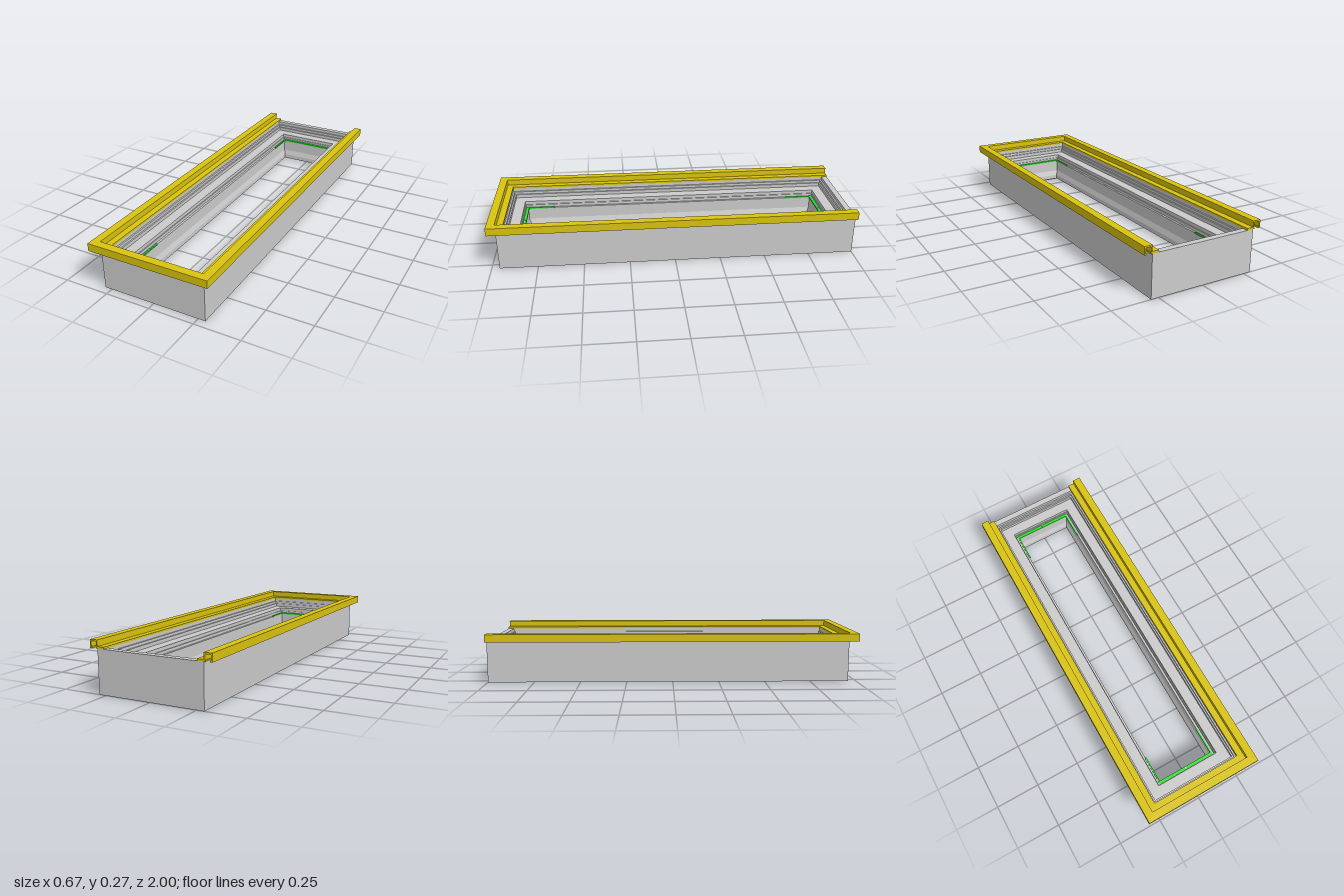
import * as THREE from 'three';

const RING = [[1, 1], [1, -1], [-1, -1], [-1, 1], [1, 1]];
const U_PATH = [[-1, -1], [-1, 1], [1, 1], [1, -1]];

// Sweep an [inset, height] section round a rectangle with mitred corners.
// An open sweep is cut square at the back and capped.
function sweep(name, section, path, halfX, front, back, material, open = false) {
  const pos = [];
  const at = ([sx, sz], [d, y]) => [
    sx * (halfX - d), y, sz > 0 ? front - d : open ? back : back + d];
  for (let k = 0; k < path.length - 1; k++) {
    section.forEach((p, i) => {
      const q = section[(i + 1) % section.length];
      const a = at(path[k], p), b = at(path[k + 1], p);
      const c = at(path[k + 1], q), d = at(path[k], q);
      pos.push(...a, ...b, ...c, ...a, ...c, ...d);
    });
  }
  if (open) {
    const tris = THREE.ShapeUtils.triangulateShape(
      section.map(([d, y]) => new THREE.Vector2(d, y)), []);
    for (const end of [path[0], path[path.length - 1]])
      for (const t of tris) for (const i of t) pos.push(...at(end, section[i]));
  }
  const geometry = new THREE.BufferGeometry();
  geometry.setAttribute('position', new THREE.Float32BufferAttribute(pos, 3));
  geometry.computeVertexNormals();
  const mesh = new THREE.Mesh(geometry, material);
  mesh.name = name;
  return mesh;
}

export function createModel() {
  const group = new THREE.Group();
  const grey = new THREE.MeshStandardMaterial({ color: 0xcccccc, flatShading: true });
  const yellow = new THREE.MeshStandardMaterial({
    color: 0xd9c30f, flatShading: true, side: THREE.DoubleSide });
  const green = new THREE.MeshStandardMaterial({ color: 0x2be62b });

  // Stepped casing around the long opening
  const casing = [
    [0, 0], [0, 0.224], [0.033, 0.224], [0.033, 0.205], [0.042, 0.205],
    [0.042, 0.19], [0.05, 0.19], [0.05, 0.17], [0.108, 0.17], [0.108, 0.15],
    [0.113, 0.15], [0.113, 0.133], [0.125, 0.133], [0.125, 0.065],
    [0.135, 0.035], [0.135, 0.01], [0.115, 0.01], [0.115, 0]];
  group.add(sweep('casing', casing, RING, 0.29, 0.957, -1, grey));

  // Three-sided flange with a channel below and a low inner lip
  const flange = [
    [0, 0.224], [0, 0.266], [0.043, 0.266], [0.043, 0.234], [0.078, 0.234],
    [0.078, 0.224], [0.034, 0.224], [0.034, 0.231], [0.037, 0.231],
    [0.037, 0.258], [0.007, 0.258], [0.007, 0.231], [0.012, 0.231], [0.012, 0.224]];
  group.add(sweep('flange', flange, U_PATH, 0.333, 1, -1, yellow, true));

  // Brackets at both ends of the opening: cross bar and two legs
  const middle = -0.0215;
  for (const end of [1, -1]) {
    const bracket = new THREE.Group();
    bracket.name = end > 0 ? 'frontBracket' : 'backBracket';
    const bar = (name, w, l, x, z) => {
      const m = new THREE.Mesh(new THREE.BoxGeometry(w, 0.008, l), green);
      m.name = name;
      m.position.set(x, 0.135, middle + end * z);
      bracket.add(m);
    };
    bar('crossBar', 0.336, 0.016, 0, 0.857);
    for (const s of [1, -1]) bar('bracketLeg', 0.008, 0.155, s * 0.164, 0.7775);
    const screw = new THREE.Mesh(new THREE.CylinderGeometry(0.005, 0.005, 0.004, 12), grey);
    screw.name = 'screw';
    screw.position.set(0, 0.14, middle + end * 0.857);
    bracket.add(screw);
    group.add(bracket);
  }
  return group;
}
